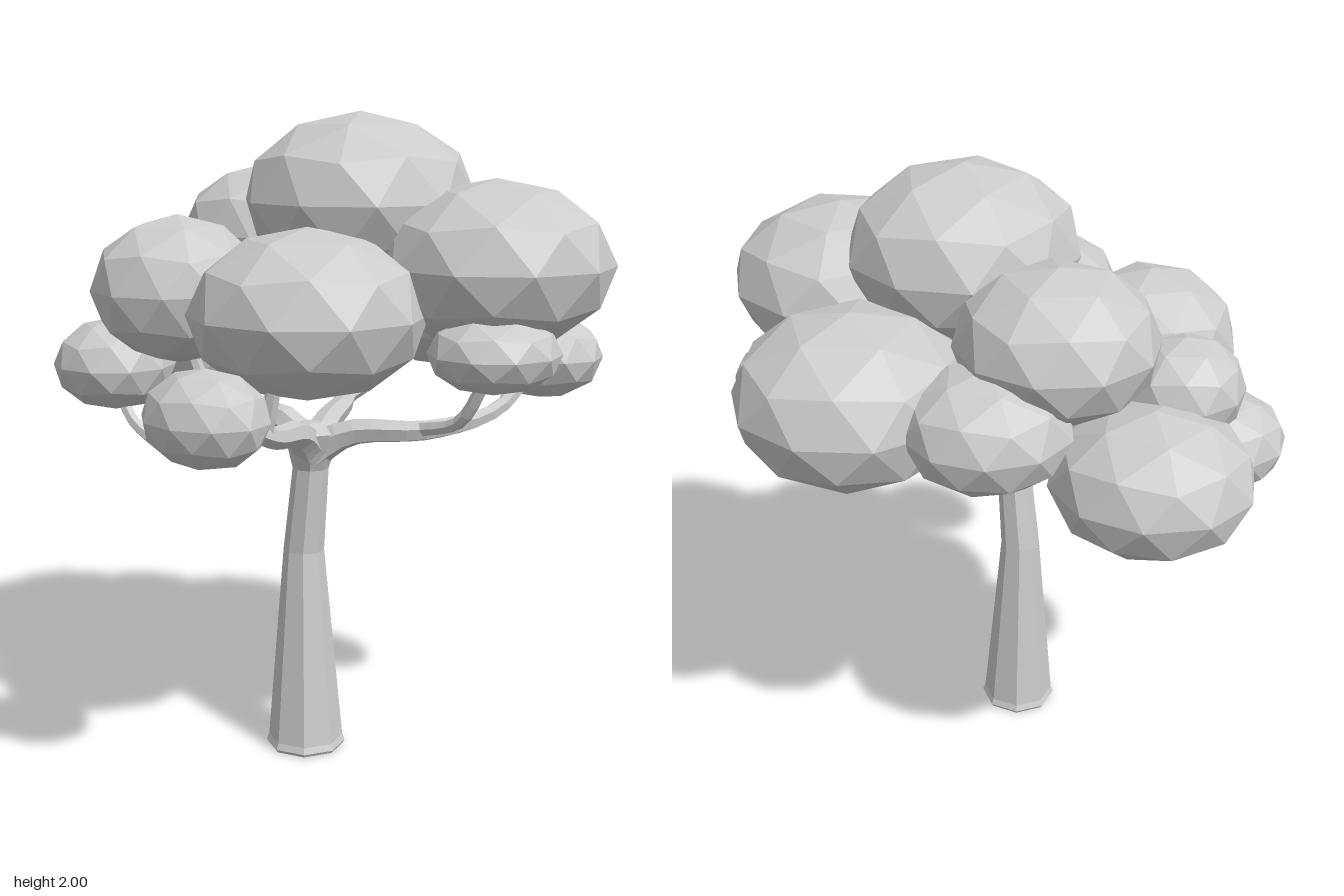
import * as THREE from 'three';

const grey = new THREE.MeshStandardMaterial({ color: 0xcccccc, flatShading: true });
grey.name = 'plain grey';

// Faceted leaf clump: an icosphere with one corner pointing up, squashed to an ellipsoid
function clump(name, [x, y, z], [rx, ry, rz], turn) {
  const geo = new THREE.IcosahedronGeometry(1, 1);
  geo.rotateZ(-Math.atan(2 / (1 + Math.sqrt(5)))).rotateY(turn);
  geo.scale(rx, ry, rz).translate(x, y, z);
  const mesh = new THREE.Mesh(geo, grey);
  mesh.name = name;
  return mesh;
}

// Trunk: rows of a cylinder moved to [y, centre x, centre z, radius], top row first
function trunk(rows) {
  const sides = 8;
  const geo = new THREE.CylinderGeometry(1, 1, 1, sides, rows.length - 1);
  const pos = geo.attributes.position;
  for (let i = 0; i < pos.count; i++) {
    const row = Math.round((0.5 - pos.getY(i)) * (rows.length - 1));
    const [y, x, z, r] = rows[row];
    pos.setXYZ(i, x + pos.getX(i) * r, y, z + pos.getZ(i) * r);
  }
  const mesh = new THREE.Mesh(geo, grey);
  mesh.name = 'trunk';
  return mesh;
}

// Branch: a six-sided tube through the points, tapering from r0 to r1
function branch(name, points, r0, r1) {
  const path = new THREE.CatmullRomCurve3(points.map((p) => new THREE.Vector3(...p)), false, 'centripetal');
  const rings = points.length * 3, sides = 6;
  const geo = new THREE.TubeGeometry(path, rings, 1, sides);
  const pos = geo.attributes.position, v = new THREE.Vector3();
  for (let i = 0; i < pos.count; i++) {
    const t = Math.floor(i / (sides + 1)) / rings;
    const c = path.getPointAt(t);
    v.fromBufferAttribute(pos, i).sub(c).multiplyScalar(r0 + (r1 - r0) * Math.sqrt(t)).add(c);
    pos.setXYZ(i, v.x, v.y, v.z);
  }
  const mesh = new THREE.Mesh(geo, grey);
  mesh.name = name;
  return mesh;
}

export function createModel() {
  const tree = new THREE.Group();
  tree.name = 'tree';

  tree.add(trunk([
    [1.07, -0.15, 0.12, 0.03],
    [1.04, -0.15, 0.12, 0.085],
    [0.99, -0.14, 0.115, 0.075],
    [0.92, -0.135, 0.105, 0.056],
    [0.65, -0.135, 0.073, 0.064],
    [0.35, -0.135, 0.076, 0.09],
    [0.03, -0.135, 0.08, 0.118],
    [0.01, -0.135, 0.08, 0.126],
    [0, -0.135, 0.08, 0.12],
  ]));

  // Main boughs start inside the fork; twigs start on a bough
  const fork = [-0.14, 0.97, 0.115];
  const boughs = [
    ['leftBough', [fork, [-0.24, 1.05, 0.17], [-0.42, 1.08, 0.25], [-0.55, 1.13, 0.29], [-0.66, 1.18, 0.3]], 0.06, 0.024],
    ['frontBough', [fork, [-0.08, 1.04, 0.22], [0.06, 1.06, 0.42], [0.25, 1.11, 0.52], [0.4, 1.23, 0.54]], 0.06, 0.02],
    ['rightBough', [fork, [-0.05, 1.04, 0.08], [0.14, 1.09, -0.02], [0.25, 1.18, -0.16], [0.34, 1.33, -0.28]], 0.06, 0.02],
    ['backBough', [fork, [-0.16, 1.06, 0.02], [-0.18, 1.07, -0.12], [-0.1, 1.07, -0.32], [-0.04, 1.14, -0.5]], 0.06, 0.025],
  ];
  const twigs = [
    ['leftTwig', [[-0.46, 1.08, 0.26], [-0.455, 1.17, 0.28], [-0.45, 1.28, 0.3]], 0.024, 0.022],
    ['frontTwig', [[0.04, 1.06, 0.4], [0.04, 1.11, 0.56], [0.05, 1.27, 0.66]], 0.025, 0.018],
    ['rightTwig', [[0.13, 1.08, -0.02], [0.24, 1.15, 0.02], [0.36, 1.3, 0.06]], 0.024, 0.018],
    ['innerTwig', [[0.14, 1.08, -0.02], [0.1, 1.18, -0.1], [0.05, 1.26, -0.18], [0.08, 1.45, -0.26]], 0.024, 0.016],
    ['backTwig', [[-0.18, 1.07, -0.12], [-0.28, 1.01, -0.26], [-0.35, 0.955, -0.35], [-0.4, 1.02, -0.45], [-0.41, 1.12, -0.51]], 0.026, 0.02],
    ['backLeftTwig', [[-0.19, 1.06, -0.1], [-0.29, 1.14, -0.19], [-0.34, 1.3, -0.24]], 0.026, 0.02],
  ];
  for (const limb of [...boughs, ...twigs]) tree.add(branch(...limb));

  // Foliage: name, centre, radii
  const clumps = [
    ['topClump', [0.035, 1.735, 0.145], [0.365, 0.265, 0.35]],
    ['frontClump', [0.18, 1.56, 0.56], [0.355, 0.25, 0.355]],
    ['rightClump', [0.51, 1.425, 0.09], [0.36, 0.26, 0.355]],
    ['leftClump', [-0.31, 1.43, 0.28], [0.35, 0.25, 0.35]],
    ['upperBackClump', [0.1, 1.61, -0.33], [0.3, 0.225, 0.3]],
    ['backClump', [0, 1.255, -0.62], [0.3, 0.215, 0.305]],
    ['backLeftClump', [-0.35, 1.46, -0.265], [0.275, 0.23, 0.27]],
    ['backRightClump', [0.35, 1.425, -0.315], [0.25, 0.18, 0.25]],
    ['smallLeftClump', [-0.705, 1.185, 0.3], [0.165, 0.14, 0.2]],
    ['smallRightClump', [0.43, 1.265, 0.545], [0.165, 0.135, 0.2]],
    ['smallFrontClump', [0.045, 1.325, 0.68], [0.2, 0.118, 0.19]],
    ['smallBackClump', [-0.225, 1.43, -0.52], [0.19, 0.16, 0.185]],
    ['smallBackLeftClump', [-0.41, 1.2, -0.53], [0.195, 0.15, 0.2]],
  ];
  clumps.forEach(([name, centre, radii], i) => tree.add(clump(name, centre, radii, i * 0.7)));

  return tree;
}
